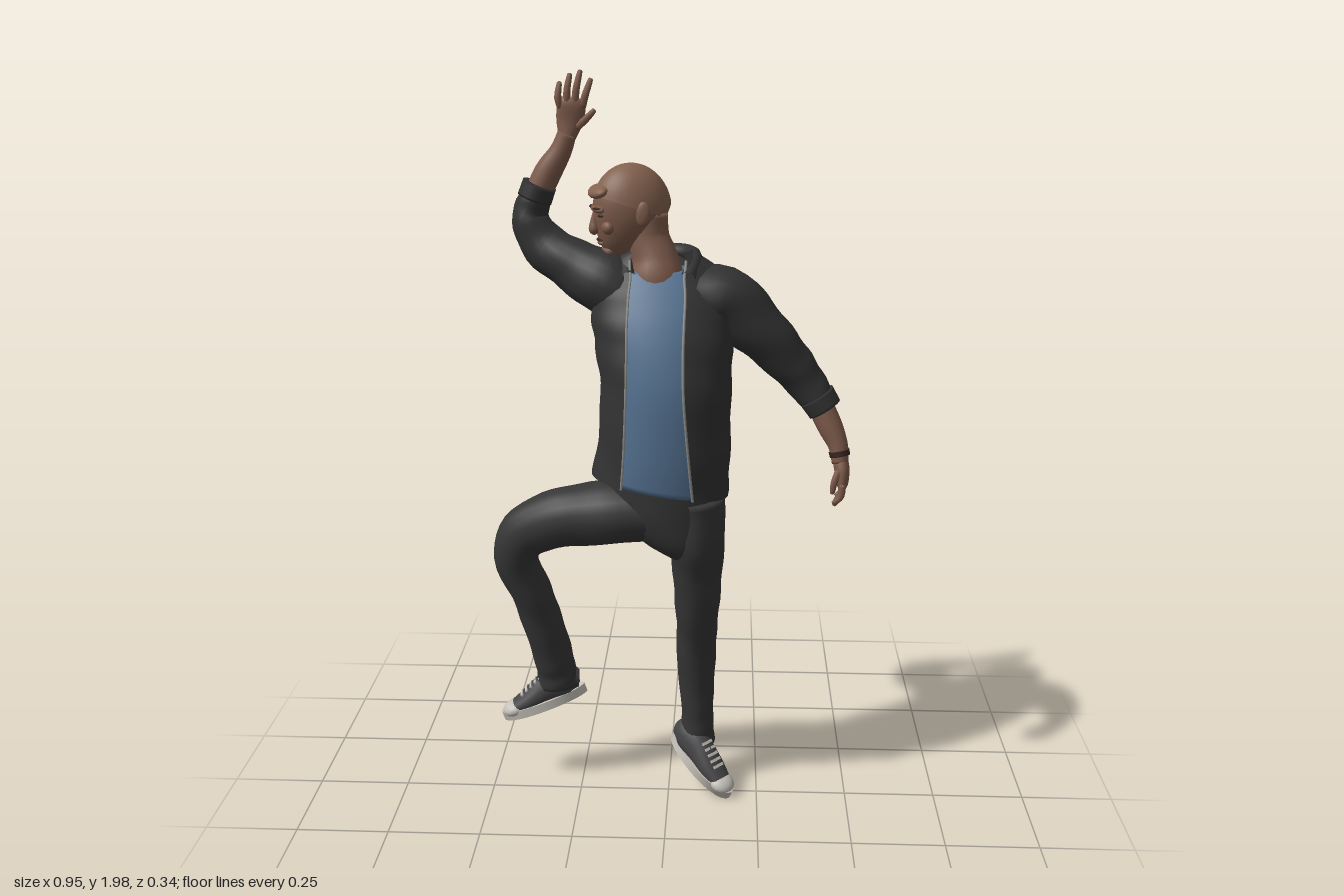
import * as THREE from 'three';

const paint = (name, color) => {
  const m = new THREE.MeshStandardMaterial({ color });
  m.name = name;
  return m;
};

export function createModel() {
  const skin = paint('skin', 0x7c5a4a), hair = paint('hair', 0x84624f);
  const jacket = paint('jacketCloth', 0x323232), denim = paint('trouserCloth', 0x363637);
  const shirt = paint('shirtCloth', 0x547190), canvas = paint('shoeCanvas', 0x444446);
  const rubber = paint('rubber', 0xc4c0b8), metal = paint('zipMetal', 0x8a8a88);
  const dark = paint('darkDetail', 0x35241e);
  jacket.side = hair.side = THREE.DoubleSide;
  const model = new THREE.Group();
  model.name = 'figure';

  const add = (name, geo, mat, parent = model) => {
    const m = new THREE.Mesh(geo, mat);
    m.name = name;
    parent.add(m);
    return m;
  };

  // Smooth blend between rows of numbers
  const sample = (rows, t) => {
    const n = rows.length - 1, i = Math.min(Math.floor(t * n), n - 1), f = t * n - i;
    const at = k => rows[Math.max(0, Math.min(n, k))];
    return rows[0].map((_, c) => {
      const [a, b, d, e] = [at(i - 1)[c], at(i)[c], at(i + 1)[c], at(i + 2)[c]];
      return b + 0.5 * f * (d - a + f * (2 * a - 5 * b + 4 * d - e + f * (3 * (b - d) + e - a)));
    });
  };

  // Elliptical sections swept along rows of [x, y, z, side radius, depth radius, start angle, end angle]
  const sweep = (name, mat, rows, o = {}) => {
    const { ref = [0, 0, 1], up, open = false, ripple = 0, sides = 20, warp, parent = model } = o;
    const steps = o.steps || (rows.length - 1) * 5, pos = [], idx = [];
    const cols = open ? sides + 1 : sides;
    const centre = t => new THREE.Vector3(...sample(rows, t).slice(0, 3));
    const put = p => { if (warp) warp(p); pos.push(p.x, p.y, p.z); };
    for (let i = 0; i <= steps; i++) {
      const t = i / steps, s = sample(rows, t), c = centre(t);
      const tan = up ? new THREE.Vector3(...up)
        : centre(Math.min(1, t + 0.01)).sub(centre(Math.max(0, t - 0.01))).normalize();
      const u = new THREE.Vector3(...ref).addScaledVector(tan, -tan.dot(new THREE.Vector3(...ref))).normalize();
      const v = new THREE.Vector3().crossVectors(tan, u);
      for (let j = 0; j < cols; j++) {
        const a = open ? s[5] + (s[6] - s[5]) * j / sides : j / sides * Math.PI * 2;
        const k = 1 + ripple * Math.sin(t * rows.length * 5 + 2.5 * Math.sin(a + t * 4));
        put(c.clone().addScaledVector(v, Math.cos(a) * s[3] * k).addScaledVector(u, Math.sin(a) * s[4] * k));
      }
    }
    for (let i = 0; i < steps; i++) for (let j = 0; j < sides; j++) {
      const a = i * cols + j, b = i * cols + (j + 1) % cols, c = a + cols, d = b + cols;
      idx.push(a, c, b, b, c, d);
    }
    if (!open) {
      put(centre(0)); put(centre(1));
      const p = (steps + 1) * cols, e = steps * cols;
      for (let j = 0; j < sides; j++) {
        const k = (j + 1) % cols;
        idx.push(p, j, k, p + 1, e + k, e + j);
      }
    }
    const g = new THREE.BufferGeometry();
    g.setAttribute('position', new THREE.Float32BufferAttribute(pos, 3));
    g.setIndex(idx);
    g.computeVertexNormals();
    return add(name, g, mat, parent);
  };

  const blob = (name, mat, p, s, parent = model, r = [0, 0, 0]) => {
    const m = add(name, new THREE.SphereGeometry(1, 20, 14), mat, parent);
    m.position.set(...p); m.scale.set(...s); m.rotation.set(...r);
    return m;
  };

  // Torso rows: x, y, z, rx, rz, then the jacket opening from xL to xR
  const torso = [
    [-0.02, 0.95, 0.045, 0.178, 0.122, -0.115, 0.068], [-0.01, 1.05, 0.045, 0.172, 0.128, -0.108, 0.058],
    [-0.005, 1.2, 0.038, 0.168, 0.132, -0.102, 0.045], [-0.01, 1.3, 0.02, 0.175, 0.13, -0.1, 0.042],
    [-0.015, 1.38, 0, 0.182, 0.12, -0.1, 0.043], [-0.02, 1.45, -0.025, 0.178, 0.105, -0.098, 0.045],
    [-0.025, 1.505, -0.045, 0.15, 0.086, -0.095, 0.042], [-0.028, 1.55, -0.05, 0.085, 0.068, -0.09, 0.036]];
  const hem = p => { p.y -= 0.16 * p.x * THREE.MathUtils.clamp((1.2 - p.y) / 0.25, 0, 1); };
  const jacketRows = torso.map(([x, y, z, rx, rz, l, r]) =>
    [x, y, z, rx, rz, Math.acos((l - x) / rx), Math.acos((r - x) / rx) + Math.PI * 2]);
  sweep('jacketBody', jacket, jacketRows, { up: [0, 1, 0], open: true, sides: 44, ripple: 0.012, warp: hem });
  sweep('shirt', shirt, torso.slice(0, 7).map(([x, y, z, a, b]) => [x, y, z, a - 0.009, b - 0.009]),
    { up: [0, 1, 0], sides: 40, warp: hem });

  // Zip along both front edges
  for (const [k, side] of [[5, 'right'], [6, 'left']]) {
    const pts = [];
    for (let i = 0; i <= 20; i++) {
      const s = sample(jacketRows, i / 20 * 0.93);
      const p = new THREE.Vector3(s[0] + Math.cos(s[k]) * s[3], s[1], s[2] + Math.sin(s[k]) * s[4] + 0.001);
      hem(p);
      pts.push(p);
    }
    add(side + 'Zip', new THREE.TubeGeometry(new THREE.CatmullRomCurve3(pts), 50, 0.0035, 6), metal);
  }

  // Hood and collar
  blob('hood', jacket, [0.0, 1.462, -0.115], [0.1, 0.068, 0.055], model, [0.25, 0, 0.1]);
  blob('hoodTip', jacket, [0.0, 1.41, -0.118], [0.06, 0.06, 0.03], model, [0.1, 0, 0]);
  const collar = new THREE.CatmullRomCurve3([[-0.1, 1.49, 0.03], [-0.11, 1.52, -0.03], [-0.075, 1.535, -0.1],
    [-0.01, 1.535, -0.125], [0.05, 1.535, -0.095], [0.065, 1.525, -0.03], [0.05, 1.49, 0.03]]
    .map(p => new THREE.Vector3(...p)));
  add('collar', new THREE.TubeGeometry(collar, 40, 0.02, 10), jacket);

  // Trousers
  sweep('trouserSeat', denim, [[-0.01, 0.98, 0.035, 0.15, 0.108], [0, 0.88, 0.025, 0.145, 0.115],
    [0.03, 0.8, 0.022, 0.11, 0.105], [0.05, 0.755, 0.02, 0.06, 0.08]], { up: [0, -1, 0], sides: 32 });
  sweep('leftTrouserLeg', denim, [[0.07, 0.92, 0.025, 0.078, 0.108], [0.075, 0.8, 0.022, 0.077, 0.108],
    [0.078, 0.7, 0.005, 0.068, 0.09], [0.078, 0.6, -0.013, 0.062, 0.081], [0.077, 0.5, -0.042, 0.056, 0.073],
    [0.075, 0.4, -0.062, 0.055, 0.066], [0.078, 0.28, -0.07, 0.047, 0.056], [0.08, 0.2, -0.07, 0.045, 0.052],
    [0.08, 0.135, -0.072, 0.05, 0.05]], { ripple: 0.02 });
  sweep('rightTrouserLeg', denim, [[-0.03, 0.88, 0.03, 0.085, 0.1], [-0.15, 0.868, 0.04, 0.085, 0.092],
    [-0.27, 0.852, 0.038, 0.08, 0.08], [-0.37, 0.81, 0.028, 0.072, 0.066], [-0.412, 0.73, 0.015, 0.06, 0.06],
    [-0.378, 0.62, -0.01, 0.055, 0.062], [-0.355, 0.53, -0.03, 0.055, 0.062], [-0.33, 0.42, -0.05, 0.055, 0.06],
    [-0.32, 0.355, -0.06, 0.055, 0.055], [-0.315, 0.31, -0.062, 0.06, 0.053]], { ripple: 0.02 });

  // Shoes, built pointing +z and then turned along the foot
  const shoe = (name, mid, dir) => {
    const g = new THREE.Group();
    g.name = name;
    const f = new THREE.Vector3(...dir).normalize();
    const u = new THREE.Vector3(0, 1, 0).addScaledVector(f, -f.y).normalize();
    g.applyMatrix4(new THREE.Matrix4().makeBasis(new THREE.Vector3().crossVectors(u, f), u, f).setPosition(...mid));
    const sole = new THREE.CylinderGeometry(1, 1, 0.026, 28), p = sole.attributes.position;
    for (let i = 0; i < p.count; i++)
      p.setXYZ(i, p.getX(i) * 0.041 * (1 + 0.14 * p.getZ(i)), p.getY(i) + 0.013, p.getZ(i) * 0.125);
    add('sole', sole, rubber, g);
    sweep('shoeUpper', canvas, [[0, 0.045, -0.116, 0.022, 0.025], [0, 0.055, -0.09, 0.035, 0.045],
      [0, 0.055, -0.06, 0.038, 0.05], [0, 0.05, -0.02, 0.038, 0.043], [0, 0.035, 0.04, 0.039, 0.029],
      [0, 0.025, 0.1, 0.028, 0.014]], { ref: [0, 1, 0], parent: g });
    blob('toeCap', rubber, [0, 0.024, 0.083], [0.037, 0.023, 0.037], g);
    for (let i = 0; i < 5; i++) {
      const lace = add('lace', new THREE.BoxGeometry(0.036, 0.005, 0.008), rubber, g);
      lace.position.set(0, 0.091 - i * 0.0078, -0.014 + i * 0.016);
      lace.rotation.x = 0.45;
    }
    model.add(g);
  };
  shoe('leftShoe', [0.088, 0.068, -0.035], [0.155, -0.105, 0.14]);
  shoe('rightShoe', [-0.352, 0.243, -0.058], [-0.245, -0.085, 0.03]);

  // Sleeves with rolled cuffs
  sweep('rightSleeve', jacket, [[-0.09, 1.42, -0.03, 0.08, 0.09], [-0.17, 1.47, -0.035, 0.083, 0.08],
    [-0.25, 1.508, -0.06, 0.068, 0.066], [-0.325, 1.555, -0.083, 0.06, 0.058], [-0.36, 1.62, -0.095, 0.048, 0.054],
    [-0.347, 1.67, -0.095, 0.042, 0.048], [-0.335, 1.705, -0.095, 0.04, 0.045]], { ripple: 0.03 });
  sweep('leftSleeve', jacket, [[0.07, 1.42, -0.025, 0.08, 0.095], [0.14, 1.43, -0.025, 0.085, 0.086],
    [0.21, 1.37, -0.02, 0.077, 0.07], [0.28, 1.3, -0.025, 0.065, 0.06], [0.335, 1.235, -0.037, 0.056, 0.055],
    [0.385, 1.17, -0.035, 0.046, 0.05], [0.405, 1.14, -0.03, 0.043, 0.047]], { ripple: 0.03 });
  sweep('rightCuff', jacket, [[-0.348, 1.67, -0.095, 0.045, 0.05], [-0.334, 1.708, -0.095, 0.044, 0.049]]);
  sweep('leftCuff', jacket, [[0.385, 1.173, -0.034, 0.049, 0.052], [0.408, 1.138, -0.03, 0.046, 0.05]]);

  // Forearms and hands
  sweep('rightForearm', skin, [[-0.35, 1.66, -0.095, 0.034, 0.036], [-0.313, 1.735, -0.093, 0.035, 0.034],
    [-0.278, 1.79, -0.09, 0.028, 0.026], [-0.26, 1.835, -0.088, 0.024, 0.021]]);
  sweep('leftForearm', skin, [[0.38, 1.18, -0.032, 0.034, 0.036], [0.42, 1.1, -0.012, 0.033, 0.034],
    [0.443, 1.05, 0.003, 0.026, 0.028], [0.45, 1.005, 0.012, 0.022, 0.026]]);
  sweep('bracelet', dark, [[0.446, 1.036, 0.006, 0.0275, 0.03], [0.449, 1.022, 0.009, 0.0265, 0.03]], { sides: 24 });
  sweep('rightPalm', skin, [[-0.26, 1.825, -0.088, 0.022, 0.018], [-0.253, 1.865, -0.09, 0.034, 0.017],
    [-0.247, 1.905, -0.085, 0.036, 0.014], [-0.245, 1.922, -0.084, 0.028, 0.008]]);
  sweep('leftPalm', skin, [[0.45, 1.012, 0.011, 0.02, 0.025], [0.455, 0.985, 0.015, 0.02, 0.033],
    [0.456, 0.95, 0.017, 0.016, 0.033], [0.455, 0.938, 0.017, 0.009, 0.026]]);
  const finger = (name, a, b, c) => sweep(name, skin, [[...a, 0.0095, 0.0095], [...b, 0.009, 0.009],
    [...c, 0.0065, 0.0065], [...c.map((v, i) => v + (c[i] - b[i]) * 0.12), 0.002, 0.002]], { sides: 8, steps: 10 });
  for (let i = 0; i < 4; i++) {
    const s = i - 1.5, long = 0.012 * Math.abs(s - 0.2);
    finger('rightFinger', [-0.247 + s * 0.018, 1.9, -0.085], [-0.246 + s * 0.023, 1.945 - long, -0.08],
      [-0.238 + s * 0.026, 1.99 - long * 1.6, -0.09]);
    finger('leftFinger', [0.456, 0.955, 0.017 + s * 0.016], [0.458 - i * 0.002, 0.92, 0.017 + s * 0.017],
      [0.444 - i * 0.003, 0.89 + long * 0.8, 0.015 + s * 0.016]);
  }
  finger('rightThumb', [-0.235, 1.85, -0.085], [-0.21, 1.872, -0.075], [-0.19, 1.892, -0.07]);
  finger('leftThumb', [0.445, 0.99, 0.035], [0.434, 0.96, 0.043], [0.43, 0.932, 0.043]);

  // Neck
  sweep('neck', skin, [[-0.028, 1.42, 0.005, 0.05, 0.05], [-0.03, 1.475, -0.012, 0.07, 0.062],
    [-0.035, 1.525, -0.03, 0.06, 0.06], [-0.055, 1.58, -0.045, 0.056, 0.058], [-0.06, 1.64, -0.05, 0.056, 0.056]]);

  // Head, built facing +z and turned to the model's right
  const head = new THREE.Group();
  head.name = 'head';
  head.position.set(-0.095, 1.652, -0.05);
  head.rotation.set(0.14, -1.25, 0, 'YXZ');
  model.add(head);
  const skull = (geo, grow = 1) => {
    const p = geo.attributes.position;
    for (let i = 0; i < p.count; i++) {
      const x = p.getX(i), y = p.getY(i), z = p.getZ(i), t = Math.max(0, -y);
      p.setXYZ(i, x * 0.076 * (1 - 0.2 * t * t) * grow, y * 0.113 * grow,
        (z * 0.1 * (z < 0 ? 1 - 0.45 * t : 1) + 0.04 * t * t) * grow);
    }
    geo.computeVertexNormals();
    return geo;
  };
  add('skull', skull(new THREE.SphereGeometry(1, 32, 24)), skin, head);
  add('hairCap', skull(new THREE.SphereGeometry(1, 32, 16, 0, Math.PI * 2, 0, 1.5).rotateX(-0.4), 1.025), hair, head);
  blob('fringe', hair, [0, 0.06, 0.079], [0.052, 0.016, 0.026], head, [0.3, 0, 0]);
  blob('brow', skin, [0, 0.018, 0.088], [0.052, 0.011, 0.014], head);
  sweep('nose', skin, [[0, 0.012, 0.092, 0.008, 0.008], [0, -0.012, 0.1, 0.01, 0.011],
    [0, -0.032, 0.104, 0.015, 0.014], [0, -0.042, 0.098, 0.008, 0.008]], { parent: head, sides: 12 });
  blob('upperLip', dark, [0, -0.061, 0.094], [0.021, 0.004, 0.007], head);
  blob('lowerLip', skin, [0, -0.069, 0.091], [0.018, 0.006, 0.009], head);
  blob('chin', skin, [0, -0.093, 0.075], [0.026, 0.018, 0.018], head);
  for (const s of [-1, 1]) {
    blob('ear', skin, [s * 0.077, -0.004, -0.008], [0.009, 0.031, 0.019], head, [-0.2, s * -0.35, 0]);
    blob('eye', dark, [s * 0.031, 0.003, 0.0895], [0.011, 0.004, 0.005], head, [0, s * 0.35, 0]);
    blob('eyebrow', dark, [s * 0.031, 0.022, 0.096], [0.018, 0.003, 0.005], head, [0, s * 0.35, 0]);
    blob('cheek', skin, [s * 0.037, -0.028, 0.076], [0.022, 0.018, 0.016], head);
  }
  return model;
}
